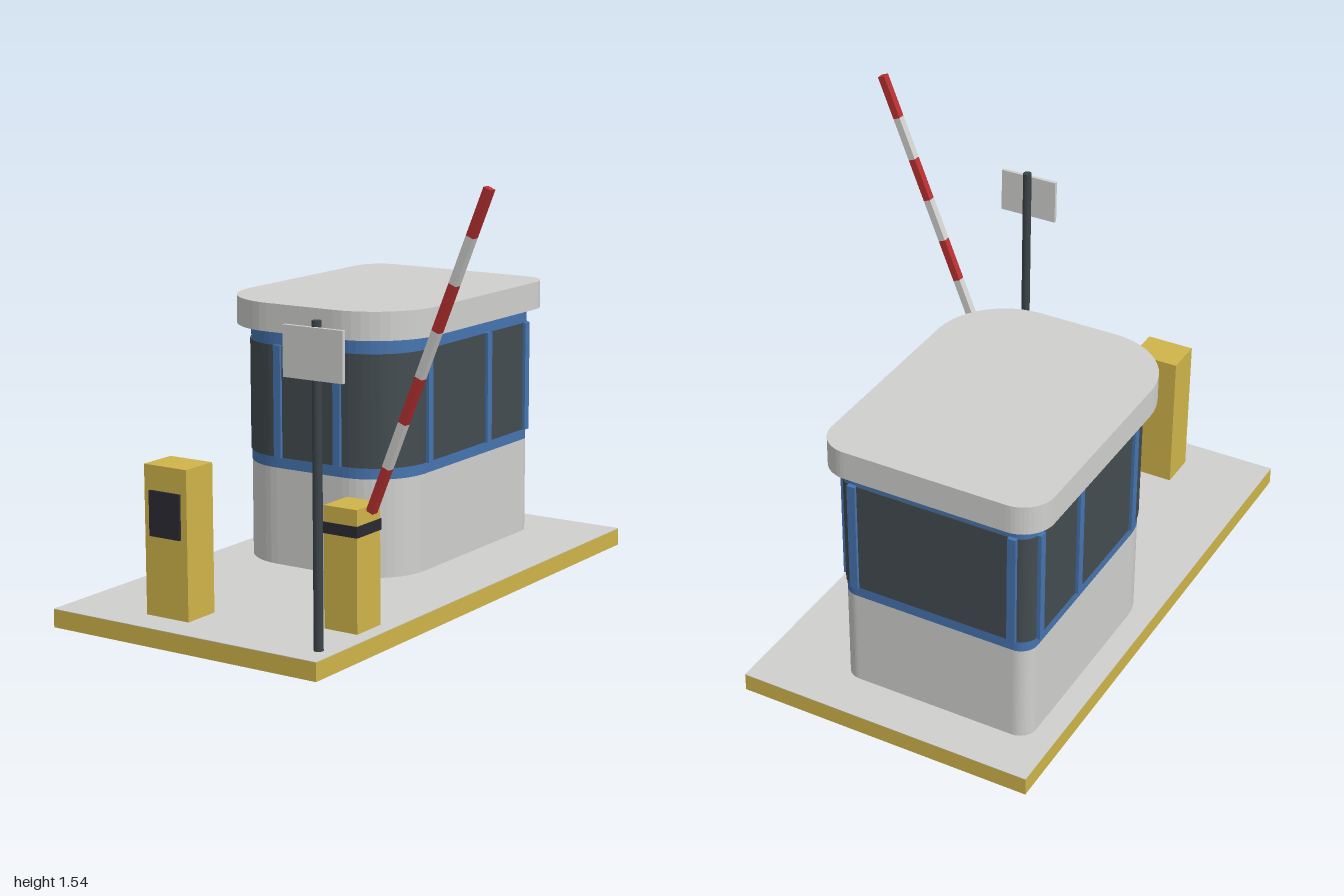
import * as THREE from 'three';

const mat = (name, color) => {
  const m = new THREE.MeshStandardMaterial({ color });
  m.name = name;
  return m;
};

export function createModel() {
  const model = new THREE.Group();
  model.name = 'tollBooth';

  const white = mat('paleGrey', 0xd0d0ce);
  const yellow = mat('yellow', 0xd0b54a);
  const blue = mat('blue', 0x4674b0);
  const glass = mat('darkGlass', 0x434c50);
  const steel = mat('darkSteel', 0x3c4449);
  const black = mat('black', 0x2b2a33);
  const red = mat('red', 0xb83030);

  const add = (name, geometry, material, parent = model) => {
    const mesh = new THREE.Mesh(geometry, material);
    mesh.name = name;
    parent.add(mesh);
    return mesh;
  };
  // Box given by its limits on each axis
  const box = (name, material, [x0, x1], [y0, y1], [z0, z1], parent = model) => {
    const mesh = add(name, new THREE.BoxGeometry(x1 - x0, y1 - y0, z1 - z0), material, parent);
    mesh.position.set((x0 + x1) / 2, (y0 + y1) / 2, (z0 + z1) / 2);
    return mesh;
  };
  // Floor-plan shape (shape y = -z) raised between two heights
  const raise = (shape, y0, y1) =>
    new THREE.ExtrudeGeometry(shape, { depth: y1 - y0, bevelEnabled: false, curveSegments: 6 })
      .rotateX(-Math.PI / 2).translate(0, y0, 0);

  // Island: open-bottomed kerb frame with a thin deck on top
  const rect = (path, x0, x1, y0, y1) =>
    path.moveTo(x0, y0).lineTo(x1, y0).lineTo(x1, y1).lineTo(x0, y1).closePath();
  const X0 = -0.743, X1 = 0.335, T = 0.005, GROUND = 0.065;
  const kerb = rect(new THREE.Shape(), X0, X1, -1, 1);
  kerb.holes.push(rect(new THREE.Path(), X0 + T, X1 - T, -1 + T, 1 - T));
  add('kerb', raise(kerb, 0, GROUND - 0.002), yellow);
  box('deck', white, [X0, X1], [GROUND - 0.002, GROUND], [-1, 1]);

  // Booth plan: tight corners at the back, wide ones at the front
  const L = -0.66, R = 0.045, F = 0.127, B = -0.83, RF = 0.21, RB = 0.06;
  const plan = (grow) => {
    const s = new THREE.Shape();
    const rf = RF + grow, rb = RB + grow, q = Math.PI / 2;
    s.absarc(R - RB, -B - RB, rb, 0, q);
    s.absarc(L + RB, -B - RB, rb, q, 2 * q);
    s.absarc(L + RF, -F + RF, rf, 2 * q, 3 * q);
    s.absarc(R - RF, -F + RF, rf, 3 * q, 4 * q);
    s.closePath();
    return s;
  };
  const booth = new THREE.Group();
  booth.name = 'booth';
  model.add(booth);
  add('lowerWall', raise(plan(0), GROUND, 0.42), white, booth);
  add('windowFrame', raise(plan(0), 0.42, 0.92), blue, booth);
  add('windowBand', raise(plan(0.004), 0.46, 0.865), glass, booth);
  add('roof', raise(plan(0.05), 0.92, 1.022), white, booth);

  // Mullions on all four sides
  const mullion = (x, z) =>
    box('mullion', blue, [x - 0.015, x + 0.015], [0.46, 0.867], [z - 0.015, z + 0.015], booth);
  for (const z of [-0.1, -0.5, -0.77]) [L, R].forEach((x) => mullion(x, z));
  for (const x of [L + RF + 0.015, R - RF - 0.015]) mullion(x, F);
  for (const x of [L + RB, R - RB]) mullion(x, B);

  // Ticket machine
  box('ticketMachine', yellow, [-0.438, -0.263], [GROUND, 0.58], [0.74, 0.88]);
  box('ticketScreen', black, [-0.414, -0.288], [0.34, 0.495], [0.88, 0.889]);

  // Barrier post with a dark band
  box('barrierPost', yellow, [0.15, 0.28], [GROUND, 0.48], [0.555, 0.69]);
  box('barrierBand', black, [0.147, 0.283], [0.387, 0.425], [0.552, 0.693]);

  // Raised striped arm
  const arm = new THREE.Group();
  arm.name = 'barrierArm';
  arm.position.set(0.291, 0.462, 0.622);
  arm.rotation.z = -Math.atan2(0.435, 1.073);
  model.add(arm);
  const step = 1.158 / 7;
  for (let i = 0; i < 7; i++) {
    box('armStripe', i % 2 ? white : red, [-0.014, 0.014], [i * step, (i + 1) * step], [-0.014, 0.014], arm);
  }

  // Sign on a round pole
  const pole = add('signPole', new THREE.CylinderGeometry(0.016, 0.016, 1.125 - GROUND, 12), steel);
  pole.position.set(0.273, (1.125 + GROUND) / 2, 0.897);
  box('signBoard', white, [0.161, 0.387], [0.94, 1.106], [0.908, 0.922]);

  return model;
}
